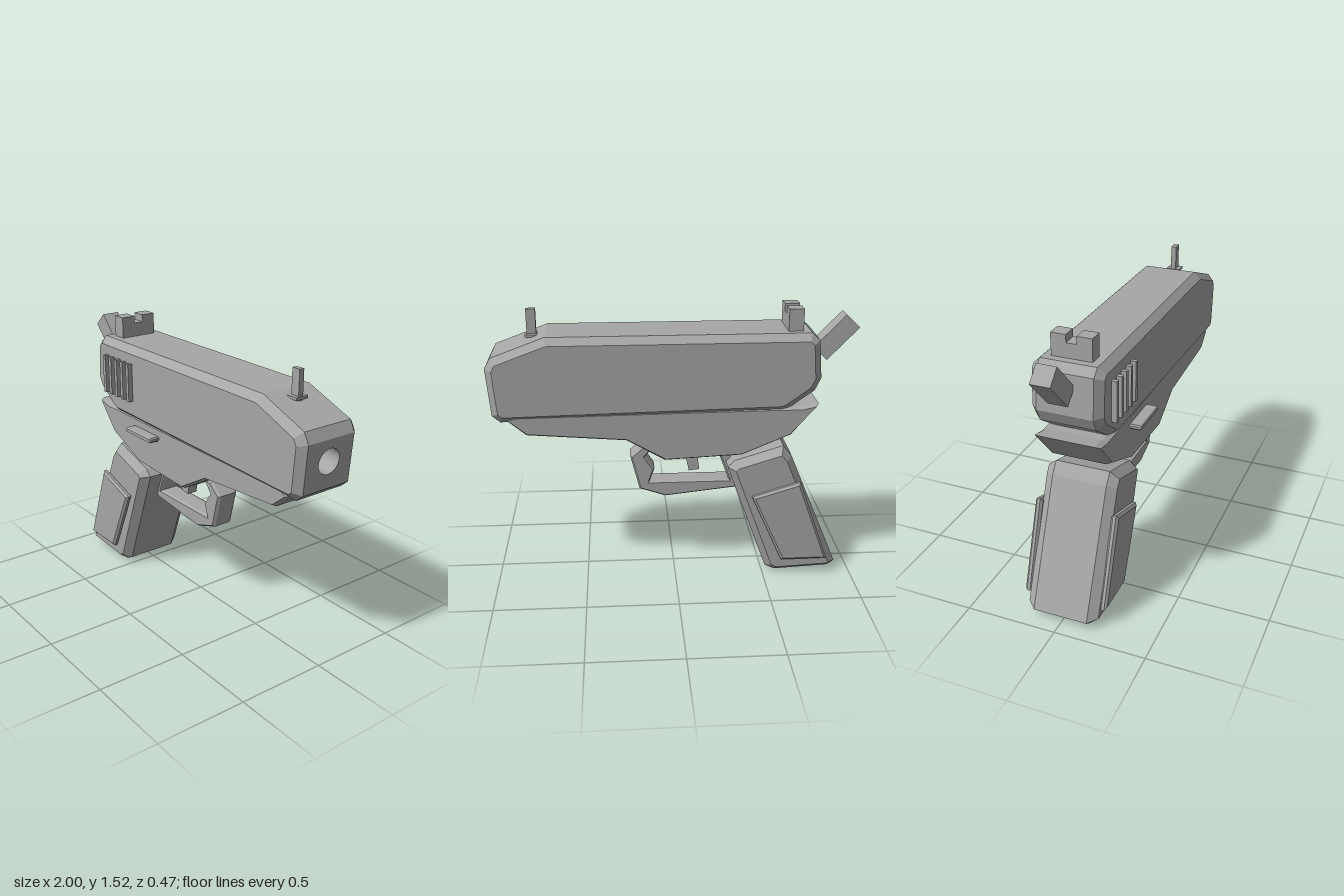
import * as THREE from 'three';

const grey = new THREE.MeshStandardMaterial({ color: 0xa6a6a6 });
grey.name = 'plain grey';

// Side profile in x/y, chamfered inwards, spanning z0 to z1
function prism(points, z0, z1, bevelXY = 0, bevelZ = bevelXY) {
  const shape = new THREE.Shape(points.map(([x, y]) => new THREE.Vector2(x, y)));
  const geo = new THREE.ExtrudeGeometry(shape, {
    depth: z1 - z0 - 2 * bevelZ,
    bevelEnabled: bevelXY > 0,
    bevelSize: bevelXY,
    bevelOffset: -bevelXY,
    bevelThickness: bevelZ,
    bevelSegments: 1,
  });
  return geo.translate(0, 0, z0 + bevelZ);
}

// Removes flat faces that point forwards along +x
function withoutFrontFace(geo) {
  const p = geo.attributes.position, kept = [];
  const a = new THREE.Vector3(), b = new THREE.Vector3(), c = new THREE.Vector3();
  const n = new THREE.Vector3();
  for (let i = 0; i < p.count; i += 3) {
    a.fromBufferAttribute(p, i);
    b.fromBufferAttribute(p, i + 1);
    c.fromBufferAttribute(p, i + 2);
    new THREE.Triangle(a, b, c).getNormal(n);
    if (n.x < 0.99) kept.push(...a.toArray(), ...b.toArray(), ...c.toArray());
  }
  const out = new THREE.BufferGeometry();
  out.setAttribute('position', new THREE.Float32BufferAttribute(kept, 3));
  out.computeVertexNormals();
  return out;
}

export function createModel() {
  const model = new THREE.Group();
  model.name = 'toyPistol';

  const add = (name, geo, parent = model) => {
    const mesh = new THREE.Mesh(geo, grey);
    mesh.name = name;
    parent.add(mesh);
    return mesh;
  };
  const box = (name, x0, x1, y0, y1, z0, z1, parent) => {
    const mesh = add(name, new THREE.BoxGeometry(x1 - x0, y1 - y0, z1 - z0), parent);
    mesh.position.set((x0 + x1) / 2, (y0 + y1) / 2, (z0 + z1) / 2);
    return mesh;
  };

  // Upper slide, open at the front for the muzzle plate
  const frontTop = new THREE.Vector2(0.998, 1.24), frontBottom = new THREE.Vector2(0.977, 0.98);
  const slide = prism([
    [-0.725, 1.404], [0.68, 1.404], [0.968, 1.297], frontTop.toArray(), frontBottom.toArray(),
    [0.934, 0.943], [-0.58, 0.973], [-0.61, 0.985], [-0.753, 1.087], [-0.785, 1.155], [-0.768, 1.365],
  ], -0.19, 0.186, 0.038, 0.04);
  add('slide', withoutFrontFace(slide));

  // Muzzle plate with a recessed bore
  const muzzle = new THREE.Group();
  muzzle.name = 'muzzle';
  const up = frontTop.clone().sub(frontBottom);
  const h = up.length() / 2, w = 0.148, r = 0.067, depth = 0.15;
  up.normalize();
  muzzle.applyMatrix4(new THREE.Matrix4().makeBasis(
    new THREE.Vector3(0, 0, -1),
    new THREE.Vector3(up.x, up.y, 0),
    new THREE.Vector3(up.y, -up.x, 0),
  ));
  muzzle.position.set((frontTop.x + frontBottom.x) / 2, (frontTop.y + frontBottom.y) / 2, -0.002);
  const plate = new THREE.Shape([[-w, -h], [w, -h], [w, h], [-w, h]].map(([x, y]) => new THREE.Vector2(x, y)));
  const boreY = 0.014;
  plate.holes.push(new THREE.Path().absarc(0, boreY, r, 0, Math.PI * 2, true));
  add('muzzlePlate', new THREE.ShapeGeometry(plate, 24), muzzle);
  const bore = new THREE.CylinderGeometry(r, r, depth, 32, 1, true).rotateX(Math.PI / 2);
  bore.scale(-1, 1, 1);
  // Mirroring turns the wall inwards; flip its normals to match
  const normals = bore.attributes.normal;
  for (let i = 0; i < normals.count; i++) {
    normals.setXYZ(i, -normals.getX(i), -normals.getY(i), -normals.getZ(i));
  }
  add('boreWall', bore, muzzle).position.set(0, boreY, -depth / 2);
  add('boreEnd', new THREE.CircleGeometry(r, 32), muzzle).position.set(0, boreY, -depth);
  model.add(muzzle);

  // Lower frame with its rear tail
  add('frame', prism([
    [-0.78, 1.01], [-0.635, 0.834], [-0.367, 0.722], [0.055, 0.702], [0.265, 0.823],
    [0.8, 0.866], [0.905, 0.955], [0.86, 0.985], [-0.55, 1.0], [-0.68, 0.998],
  ], -0.178, 0.173, 0.014, 0.028));

  // Grip and its side panels
  add('grip', prism([
    [-0.597, 0.77], [-0.645, 0.71], [-0.924, 0.043], [-0.885, 0.016],
    [-0.575, 0], [-0.52, 0.027], [-0.292, 0.65], [-0.33, 0.688],
  ], -0.2, 0.195, 0.036, 0.048));
  const panel = [[-0.86, 0.1], [-0.69, 0.578], [-0.422, 0.495], [-0.6, 0.098]];
  add('leftGripPanel', prism(panel, 0.19, 0.23, 0.014, 0.012));
  add('rightGripPanel', prism(panel, -0.235, -0.195, 0.014, 0.012));

  // Trigger guard, open at the top under the frame
  add('triggerGuard', prism([
    [-0.36, 0.725], [-0.36, 0.485], [0.05, 0.44], [0.195, 0.49], [0.245, 0.69], [0.17, 0.755],
    [0.11, 0.75], [0.16, 0.685], [0.11, 0.61], [0.137, 0.535], [-0.31, 0.535], [-0.245, 0.71], [-0.25, 0.725],
  ], -0.067, 0.063, 0.01, 0.016));

  add('trigger', prism([[-0.125, 0.74], [-0.145, 0.59], [-0.085, 0.583], [-0.055, 0.74]], -0.032, 0.028));

  // Tilted hammer
  const hammer = add('hammer', new THREE.BoxGeometry(0.245, 0.104, 0.104));
  hammer.position.set(-0.877, 1.353, -0.011);
  hammer.rotation.z = -Math.PI / 4 - 0.02;

  // Notched rear sight: a base with two ears
  const rearSight = new THREE.Group();
  rearSight.name = 'rearSight';
  box('rearSightBase', -0.685, -0.605, 1.395, 1.482, -0.11, 0.105, rearSight);
  box('rearSightLeftEar', -0.685, -0.605, 1.482, 1.523, 0.025, 0.105, rearSight);
  box('rearSightRightEar', -0.685, -0.605, 1.482, 1.523, -0.11, -0.03, rearSight);
  model.add(rearSight);

  // Front sight blade on a small foot
  box('frontSightBlade', 0.73, 0.78, 1.36, 1.523, -0.016, 0.013);
  box('frontSightFoot', 0.725, 0.79, 1.376, 1.39, -0.04, 0.036);

  // Raised ribs on the left side of the slide
  for (let i = 0; i < 5; i++) {
    const x = -0.658 + i * 0.06;
    box('slideRib', x, x + 0.024, 1.092, 1.312, 0.18, 0.214);
  }

  // Side lever
  add('sideLever', prism([
    [-0.4, 0.926], [-0.394, 0.918], [-0.161, 0.918], [-0.155, 0.926],
    [-0.155, 0.938], [-0.161, 0.946], [-0.394, 0.946], [-0.4, 0.938],
  ], 0.17, 0.237, 0.005, 0.008));

  return model;
}
